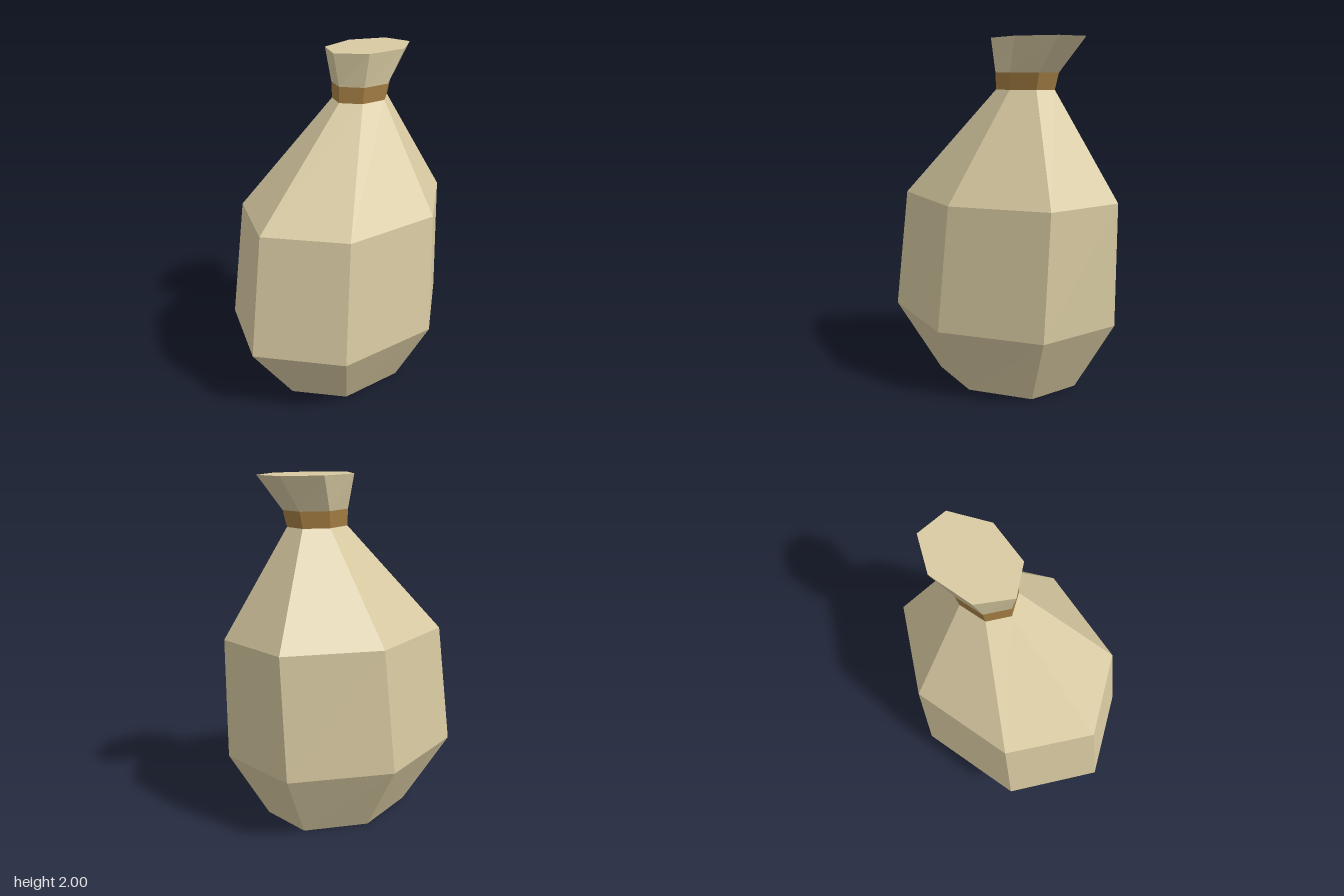
import * as THREE from 'three';

const SAND = new THREE.MeshStandardMaterial({ color: 0xd8caa2 });
SAND.name = 'sandCloth';
const TIE = new THREE.MeshStandardMaterial({ color: 0xa67f44 });
TIE.name = 'brownTie';

// Seven-sided cross-sections: [x, z] corners running left, front, right, back
const belly = [[-0.73, -0.04], [-0.48, 0.435], [0.14, 0.582], [0.67, 0.285], [0.705, -0.235], [0.22, -0.585], [-0.415, -0.5]];
const shoulder = [[-0.635, -0.04], [-0.4, 0.4], [0.19, 0.54], [0.69, 0.26], [0.725, -0.217], [0.267, -0.542], [-0.34, -0.46]];
const mouth = [[-0.02, -0.02], [0.087, 0.15], [0.345, 0.205], [0.565, 0.095], [0.58, -0.095], [0.38, -0.218], [0.112, -0.187]];

const ring = (y, points, sx = 1, sz = 1, dx = 0) =>
  points.map(([x, z]) => new THREE.Vector3(x * sx + dx, y, z * sz));

const rings = {
  base: ring(0, belly, 0.634, 0.616, 0.043),
  belly: ring(0.4, belly),
  shoulder: ring(1.105, shoulder),
  neckLow: ring(1.715, shoulder, 0.268, 0.273, 0.19),
  neckHigh: ring(1.808, shoulder, 0.287, 0.293, 0.202),
  mouth: ring(2, mouth),
};

// Faceted skin through a stack of rings, with optional end caps
function skin(name, stack, material, capBottom = false, capTop = false) {
  const corners = [];
  const n = stack[0].length;
  for (let r = 0; r < stack.length - 1; r++) {
    for (let i = 0; i < n; i++) {
      const j = (i + 1) % n;
      const [a, b, c, d] = [stack[r][i], stack[r][j], stack[r + 1][j], stack[r + 1][i]];
      corners.push(a, b, c, a, c, d);
    }
  }
  const first = stack[0], last = stack[stack.length - 1];
  for (let i = 1; i < n - 1; i++) {
    if (capBottom) corners.push(first[0], first[i + 1], first[i]);
    if (capTop) corners.push(last[0], last[i], last[i + 1]);
  }
  const geometry = new THREE.BufferGeometry().setFromPoints(corners);
  geometry.computeVertexNormals();
  const mesh = new THREE.Mesh(geometry, material);
  mesh.name = name;
  return mesh;
}

export function createModel() {
  const group = new THREE.Group();
  group.name = 'tiedSack';
  group.add(
    skin('sackBody', [rings.base, rings.belly, rings.shoulder, rings.neckLow], SAND, true, false),
    skin('neckTie', [rings.neckLow, rings.neckHigh], TIE),
    skin('flaredMouth', [rings.neckHigh, rings.mouth], SAND, false, true),
  );
  return group;
}
